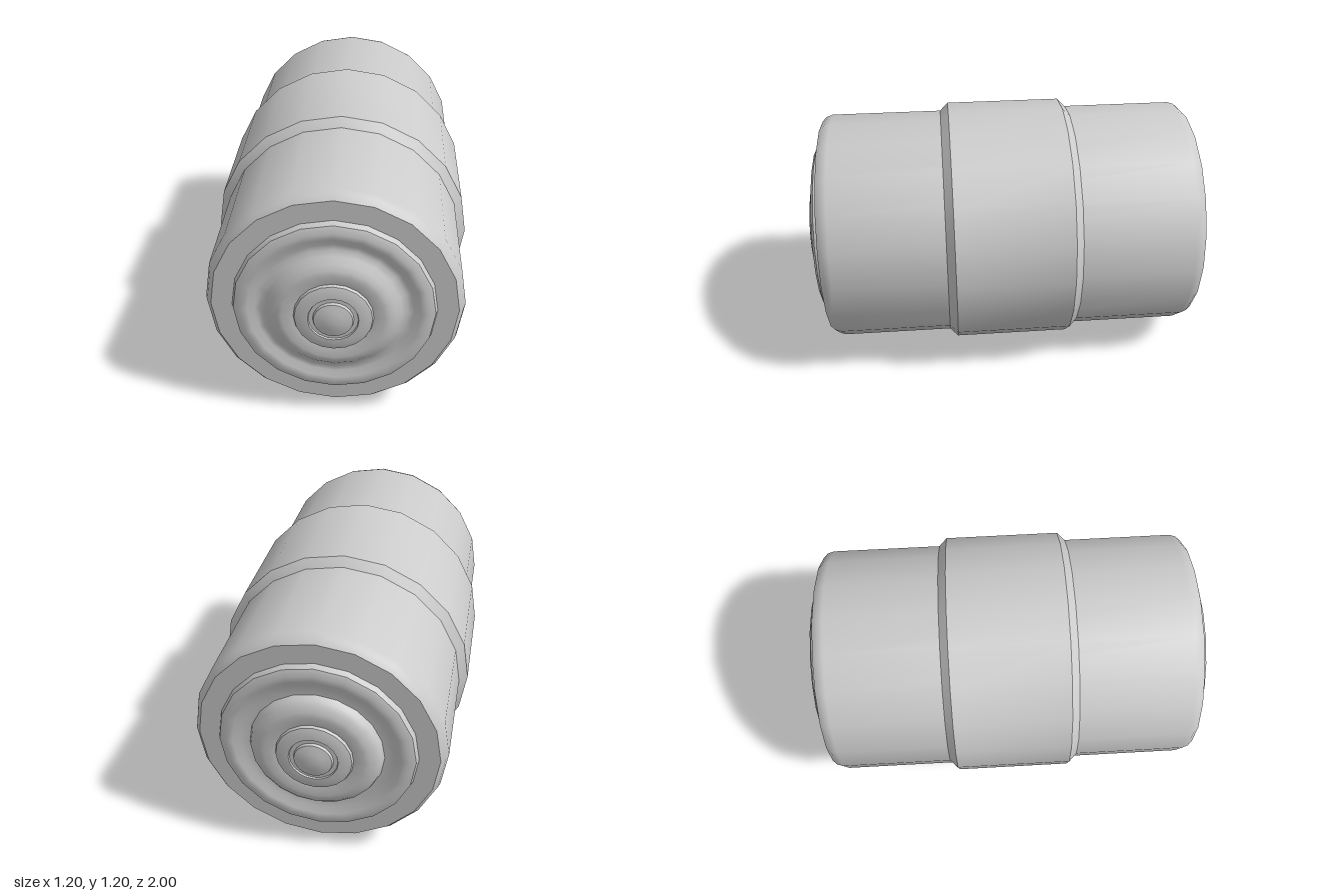
import * as THREE from 'three';
import { toCreasedNormals } from 'three/addons/utils/BufferGeometryUtils.js';

const SIDES = 20;
const AXIS_HEIGHT = 0.598;
const material = new THREE.MeshStandardMaterial({ color: 0xcccccc });

// Turned part: profile of [radius, z] with z running from back to front
function turned(name, profile) {
  const points = profile.map(([r, z]) => new THREE.Vector2(r, z));
  const geometry = new THREE.LatheGeometry(points, SIDES);
  geometry.rotateX(Math.PI / 2);
  const mesh = new THREE.Mesh(toCreasedNormals(geometry, THREE.MathUtils.degToRad(37)), material);
  mesh.name = name;
  mesh.position.y = AXIS_HEIGHT;
  return mesh;
}

// Reverses a front profile into a back one
const mirrored = (profile) => profile.map(([r, z]) => [r, -z]).reverse();

export function createModel() {
  const group = new THREE.Group();
  group.name = 'barrel';

  // Main drum with softened rims
  const rim = [[0.56, 0.84], [0.55, 0.87], [0.53, 0.892], [0.435, 0.892]];
  group.add(turned('drum', [...mirrored(rim), ...rim]));

  // Raised band around the middle
  const bandEdge = [[0.598, 0.275], [0.555, 0.318]];
  group.add(turned('middleBand', [...mirrored(bandEdge), ...bandEdge]));

  // Stepped hub and pointed button shared by both ends
  const hub = [
    [0.218, 0.967], [0.17, 0.957], [0.165, 0.969], [0.14, 0.977], [0.108, 0.979],
    [0.105, 0.972], [0.087, 0.972], [0.083, 0.984], [0.045, 0.993], [0, 1],
  ];

  // Front end: rounded ring flowing through a groove into the hub
  group.add(turned('frontCap', [
    [0.44, 0.889], [0.43, 0.918], [0.4, 0.932], [0.37, 0.929], [0.34, 0.916],
    [0.315, 0.915], [0.29, 0.929], [0.265, 0.95], [0.24, 0.962], ...hub,
  ]));

  // Back end: same ring, with a sharper step up to the hub
  group.add(turned('backCap', mirrored([
    [0.44, 0.889], [0.43, 0.918], [0.4, 0.93], [0.37, 0.926], [0.34, 0.912],
    [0.295, 0.91], [0.285, 0.935], [0.265, 0.952], [0.24, 0.962], ...hub,
  ])));

  return group;
}
